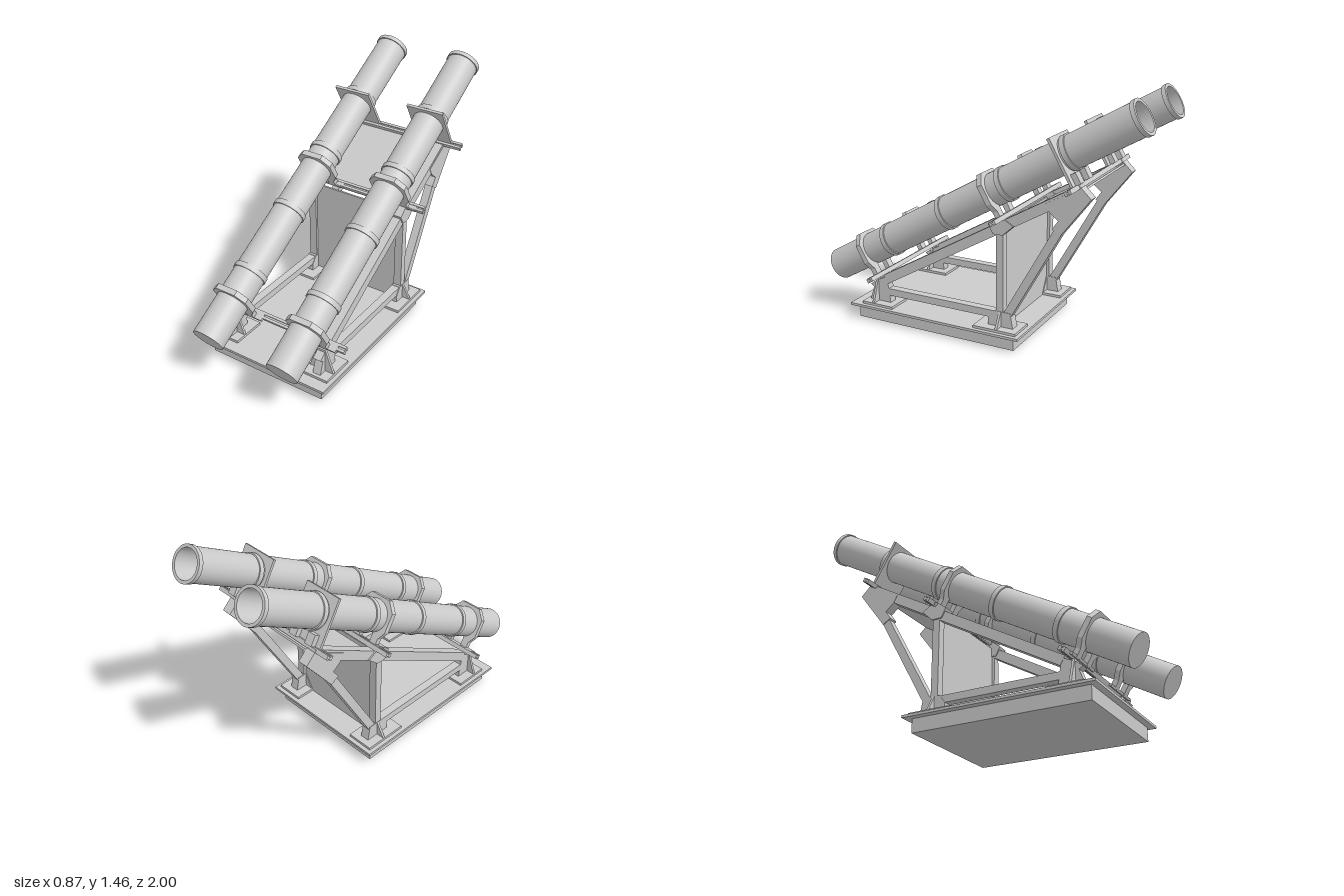
import * as THREE from 'three';
import { toCreasedNormals } from 'three/addons/utils/BufferGeometryUtils.js';

const grey = new THREE.MeshStandardMaterial({ color: 0xcccccc });

function add(parent, name, geometry, x = 0, y = 0, z = 0) {
  const mesh = new THREE.Mesh(geometry, grey);
  mesh.name = name;
  mesh.position.set(x, y, z);
  parent.add(mesh);
  return mesh;
}

// Box given by its limits on each axis
function box(parent, name, [x0, x1], [y0, y1], [z0, z1]) {
  return add(parent, name, new THREE.BoxGeometry(x1 - x0, y1 - y0, z1 - z0),
    (x0 + x1) / 2, (y0 + y1) / 2, (z0 + z1) / 2);
}

// Plate with an outline in x, y, centred on its thickness in z
function extrude(points, depth) {
  const shape = new THREE.Shape(points.map(([x, y]) => new THREE.Vector2(x, y)));
  return new THREE.ExtrudeGeometry(shape, { depth, bevelEnabled: false }).translate(0, 0, -depth / 2);
}

// Plate with an outline in z, y, centred on x
function sidePlate(parent, name, points, x, thickness) {
  const geometry = extrude(points.map(([z, y]) => [-z, y]), thickness).rotateY(Math.PI / 2);
  return add(parent, name, geometry, x);
}

// Straight bar in the z, y plane
function bar(parent, name, [z0, y0], [z1, y1], width, x, thickness) {
  const length = Math.hypot(z1 - z0, y1 - y0);
  const mesh = add(parent, name, new THREE.BoxGeometry(thickness, width, length), x, (y0 + y1) / 2, (z0 + z1) / 2);
  mesh.rotation.x = -Math.atan2(y1 - y0, z1 - z0);
  return mesh;
}

// Launch tube: closed lower end, open upper end, raised hoops
function tubeGeometry() {
  const r = 0.095, R = 0.102, length = 2.195;
  const profile = [[0, 0], [r, 0]];
  for (const s of [0.447, 0.885, 1.32, 1.755]) {
    profile.push([r, s - 0.015], [R, s - 0.015], [R, s + 0.015], [r, s + 0.015]);
  }
  profile.push([r, length - 0.025], [R, length - 0.025], [R, length], [0.084, length], [0.084, 0.03], [0, 0.03]);
  const lathe = new THREE.LatheGeometry(profile.map(([a, b]) => new THREE.Vector2(a, b)), 40);
  return toCreasedNormals(lathe.rotateX(-Math.PI / 2), 0.6);
}

export function createModel() {
  const model = new THREE.Group();
  model.name = 'twinTubeLauncher';
  const midX = -0.017;

  // Base
  box(model, 'baseBlock', [-0.394, 0.36], [0, 0.08], [-0.285, 0.752]);
  box(model, 'basePlate', [-0.433, 0.399], [0.08, 0.095], [-0.327, 0.79]);

  // Tilted assembly: local -z runs up along the tubes, local y is their normal
  const tilted = new THREE.Group();
  tilted.name = 'tiltedAssembly';
  tilted.position.set(0, 0.27, 0.953);
  tilted.rotation.x = Math.PI / 6;
  model.add(tilted);

  // Collar with chamfered top and two legs
  const collar = extrude([
    [-0.065, 0.113], [-0.115, 0.055], [-0.115, -0.06], [-0.085, -0.11], [-0.085, -0.155], [-0.04, -0.155],
    [-0.04, -0.09], [0.04, -0.09], [0.04, -0.155], [0.085, -0.155], [0.085, -0.11], [0.115, -0.06],
    [0.115, 0.055], [0.065, 0.113],
  ], 0.032);
  const tube = tubeGeometry();
  for (const x of [-0.248, 0.252]) {
    add(tilted, 'tube', tube, x);
    for (const s of [0.272, 1.222]) {
      add(tilted, 'collar', collar, x, 0, -s);
      box(tilted, 'collarPad', [x - 0.135, x + 0.135], [-0.16, -0.145], [-s - 0.03, -s + 0.015]);
    }
    box(tilted, 'upperSaddlePlate', [x - 0.118, x + 0.118], [-0.165, 0.118], [-1.728, -1.712]);
    for (const dx of [-0.06, 0.06]) {
      box(tilted, 'saddlePad', [x + dx - 0.025, x + dx + 0.025], [-0.165, -0.1], [-1.76, -1.728]);
    }
  }

  // Cross rails, each a pair of bars on a thin web
  for (const [s, n] of [[0.293, -0.158], [1.232, -0.155], [1.717, -0.175]]) {
    box(tilted, 'crossRailFront', [-0.437, 0.433], [n - 0.013, n + 0.013], [-s + 0.005, -s + 0.02]);
    box(tilted, 'crossRailBack', [-0.437, 0.433], [n - 0.013, n + 0.013], [-s - 0.02, -s - 0.005]);
    box(tilted, 'crossRailWeb', [-0.437, 0.433], [n - 0.005, n + 0.005], [-s - 0.006, -s + 0.006]);
  }

  // Panels between the side trusses
  box(tilted, 'slopedPanel', [midX - 0.31, midX + 0.31], [-0.207, -0.195], [-1.745, -1.23]);
  box(model, 'rearWall', [midX - 0.31, midX + 0.31], [0.095, 0.71], [-0.182, -0.17]);

  // Side trusses
  for (const side of [-1, 1]) {
    const x = midX + side * 0.31;
    box(tilted, 'inclinedBeam', [x - 0.027, x + 0.027], [-0.228, -0.17], [-1.74, -0.31]);
    bar(model, 'rearPost', [-0.177, 0.11], [-0.177, 0.68], 0.043, x, 0.05);
    bar(model, 'rearStrut', [-0.215, 0.17], [-0.6, 0.86], 0.048, x, 0.05);
    bar(model, 'lowerBar', [0.6, 0.176], [-0.15, 0.176], 0.043, x, 0.05);

    // Gussets
    sidePlate(model, 'topGusset', [[-0.45, 0.87], [-0.65, 0.982], [-0.708, 0.925], [-0.54, 0.705],
      [-0.49, 0.735], [-0.525, 0.785], [-0.475, 0.825]], x, 0.06);
    sidePlate(model, 'middleGusset', [[-0.11, 0.71], [-0.18, 0.765], [-0.265, 0.715], [-0.2, 0.655],
      [-0.14, 0.655]], x, 0.07);
    sidePlate(model, 'rearFootGusset', [[-0.107, 0.11], [-0.107, 0.155], [-0.14, 0.2], [-0.245, 0.2],
      [-0.262, 0.11]], x, 0.056);
    sidePlate(model, 'frontFootGusset', [[0.7, 0.11], [0.672, 0.19], [0.695, 0.205], [0.65, 0.238],
      [0.58, 0.27], [0.565, 0.19], [0.555, 0.11]], x, 0.05);

    // Feet with cross plates
    for (const [z0, z1, h, zc] of [[0.51, 0.72, 0.25, 0.645], [-0.302, -0.035, 0.2, -0.18]]) {
      box(model, 'footPlate', [x - 0.082, x + 0.082], [0.095, 0.11], [z0, z1]);
      add(model, 'footWeb', extrude([[-0.078, 0.11], [0.078, 0.11], [0.028, h], [-0.028, h]], 0.014), x, 0, zc);
    }
  }
  return model;
}
